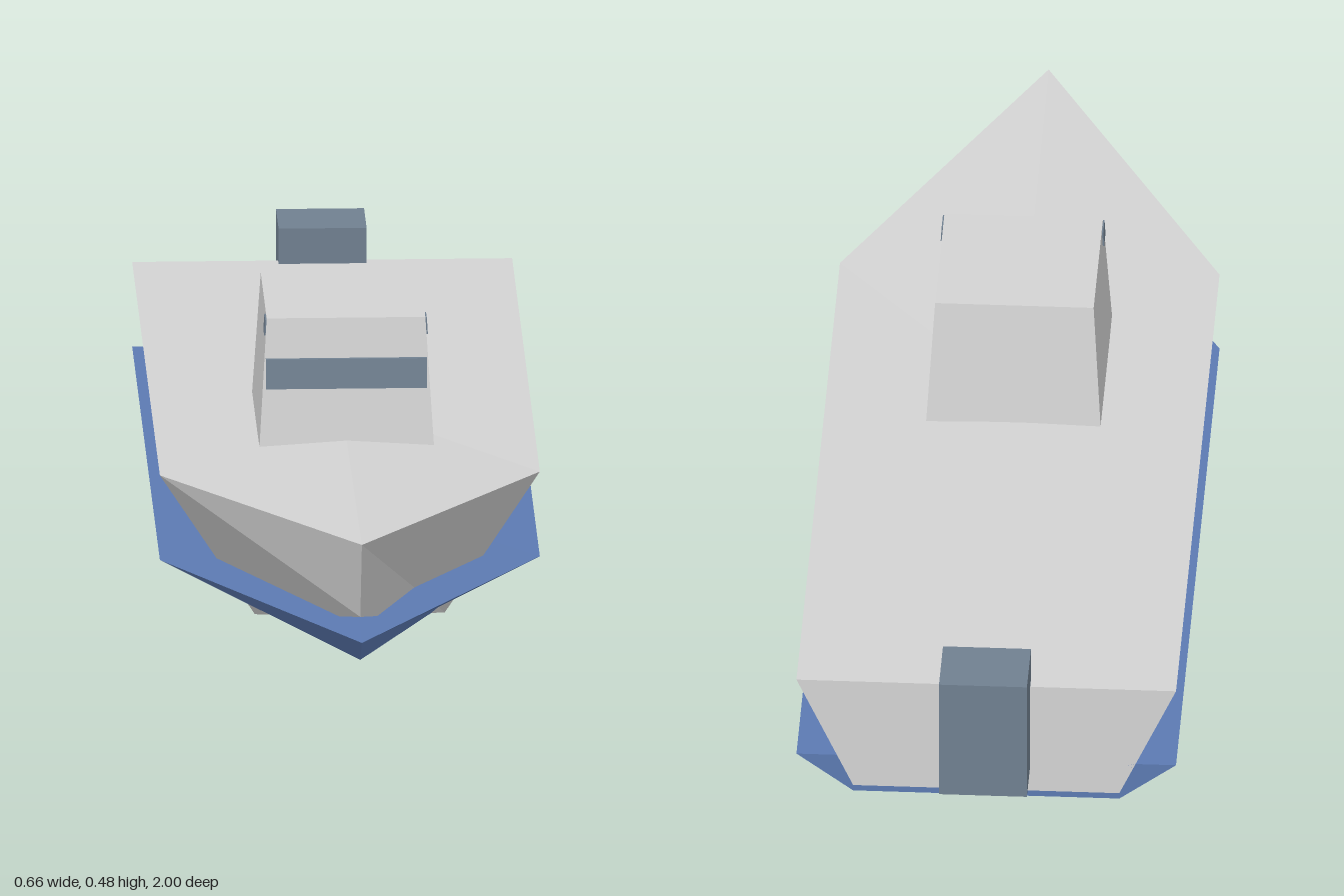
import * as THREE from 'three';

const grey = new THREE.MeshStandardMaterial({ color: 0xd3d3d3 });
grey.name = 'light grey';
const blue = new THREE.MeshStandardMaterial({ color: 0x5c7ab2 });
blue.name = 'hull blue';
const slate = new THREE.MeshStandardMaterial({ color: 0x708090 });
slate.name = 'slate';

// Faceted solid between two rings of points (anticlockwise from above),
// each ring capped by a fan around its average point.
function loft(top, bottom) {
  const n = top.length;
  const average = ring => [0, 1, 2].map(k => ring.reduce((s, p) => s + p[k], 0) / n);
  const topMid = average(top), bottomMid = average(bottom);
  const corners = [];
  for (let i = 0; i < n; i++) {
    const j = (i + 1) % n;
    corners.push(
      topMid, top[i], top[j],
      bottomMid, bottom[j], bottom[i],
      top[i], bottom[i], bottom[j],
      top[i], bottom[j], top[j]
    );
  }
  const geometry = new THREE.BufferGeometry();
  geometry.setAttribute('position', new THREE.Float32BufferAttribute(corners.flat(), 3));
  geometry.computeVertexNormals();
  return geometry;
}

// Pointed outline: bow, then shoulder and stern on both sides
function boatRing(bow, shoulder, stern) {
  const mirror = ([x, y, z]) => [-x, y, z];
  return [bow, shoulder, stern, mirror(stern), mirror(shoulder)];
}

function rectRing(halfWidth, y, front, back) {
  return [
    [-halfWidth, y, front], [halfWidth, y, front],
    [halfWidth, y, back], [-halfWidth, y, back]
  ];
}

export function createModel() {
  const boat = new THREE.Group();
  boat.name = 'boat';
  const add = (name, geometry, material) => {
    const mesh = new THREE.Mesh(geometry, material);
    mesh.name = name;
    boat.add(mesh);
    return mesh;
  };

  // Upper hull with its deck
  add('upperHull', loft(
    boatRing([0, 0.291, 1], [0.328, 0.253, 0.425], [0.328, 0.253, -0.9]),
    boatRing([0, 0.14, 0.925], [0.164, 0.002, 0.425], [0.23, 0.04, -0.9])
  ), grey);

  // Lower hull, flaring out at the waterline
  add('lowerHull', loft(
    boatRing([0, 0.115, 1], [0.328, 0.101, 0.425], [0.328, 0.101, -0.9]),
    boatRing([0, 0.063, 0.925], [0.164, 0.017, 0.425], [0.23, 0.029, -0.9])
  ), blue);

  // Tapered cabin
  add('cabin', loft(
    rectRing(0.137, 0.48, 0.242, -0.043),
    rectRing(0.151, 0.253, 0.277, -0.075)
  ), grey);

  // Windscreen band lying on the sloping cabin front
  add('windscreen', loft(
    rectRing(0.139, 0.411, 0.26, 0.252),
    rectRing(0.139, 0.36, 0.268, 0.26)
  ), slate);

  // Small side windows near the front top corners
  for (const side of [-1, 1]) {
    const pane = add('sideWindow', new THREE.BoxGeometry(0.004, 0.028, 0.04), slate);
    pane.position.set(side * 0.1385, 0.463, 0.222);
    pane.rotation.z = side * 0.06;
  }

  // Outboard motor on the transom
  add('outboardMotor', new THREE.BoxGeometry(0.152, 0.225, 0.122), slate)
    .position.set(0, 0.204, -0.939);

  return boat;
}
